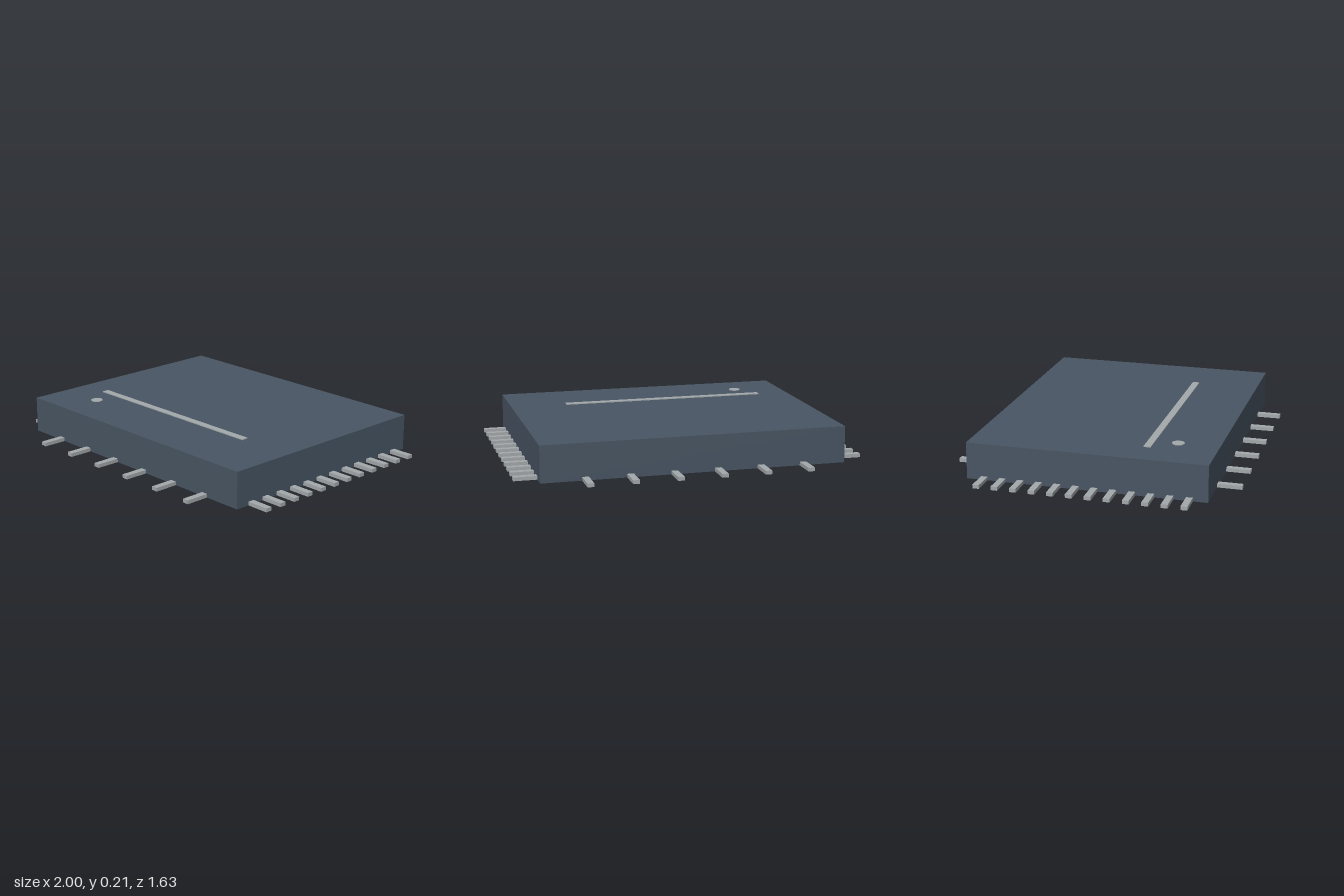
import * as THREE from 'three';

export function createModel() {
  const model = new THREE.Group();
  model.name = 'chipPackage';

  const bodyColor = new THREE.MeshStandardMaterial({ color: 0x485563 });
  bodyColor.name = 'slate body';
  const metal = new THREE.MeshStandardMaterial({ color: 0xa3a8ab });
  metal.name = 'pale grey metal';

  const W = 1.736, D = 1.354, H = 0.209;    // package body
  const LX = 1, LZ = 0.815;                 // outer reach of the leads
  const leadW = 0.037, leadH = 0.021;

  function add(name, geometry, material, x, y, z, parent = model) {
    const mesh = new THREE.Mesh(geometry, material);
    mesh.name = name;
    mesh.position.set(x, y, z);
    parent.add(mesh);
    return mesh;
  }

  // Package body
  add('body', new THREE.BoxGeometry(W, H, D), bodyColor, 0, H / 2, 0);

  // Flat leads, butted against the four walls
  const leads = new THREE.Group();
  leads.name = 'leads';
  model.add(leads);
  const lenX = LX - W / 2, lenZ = LZ - D / 2;
  const sideLead = new THREE.BoxGeometry(lenX, leadH, leadW);
  const endLead = new THREE.BoxGeometry(leadW, leadH, lenZ);
  for (const s of [-1, 1]) {
    for (let i = 0; i < 12; i++) {
      add(s > 0 ? 'leftLead' : 'rightLead', sideLead, metal,
        s * (W / 2 + lenX / 2), leadH / 2, (i - 5.5) * 0.1047, leads);
    }
    for (let i = 0; i < 6; i++) {
      add(s > 0 ? 'frontLead' : 'backLead', endLead, metal,
        (i - 2.5) * 0.248, leadH / 2, s * (D / 2 + lenZ / 2), leads);
    }
  }

  // Thin printed marks on the top face
  add('markingBar', new THREE.BoxGeometry(1.218, 0.005, 0.041), metal, -0.072, H + 0.0025, 0.296);
  add('pinOneDot', new THREE.CylinderGeometry(0.035, 0.035, 0.004, 20), metal, -0.576, H + 0.002, 0.445);

  return model;
}
